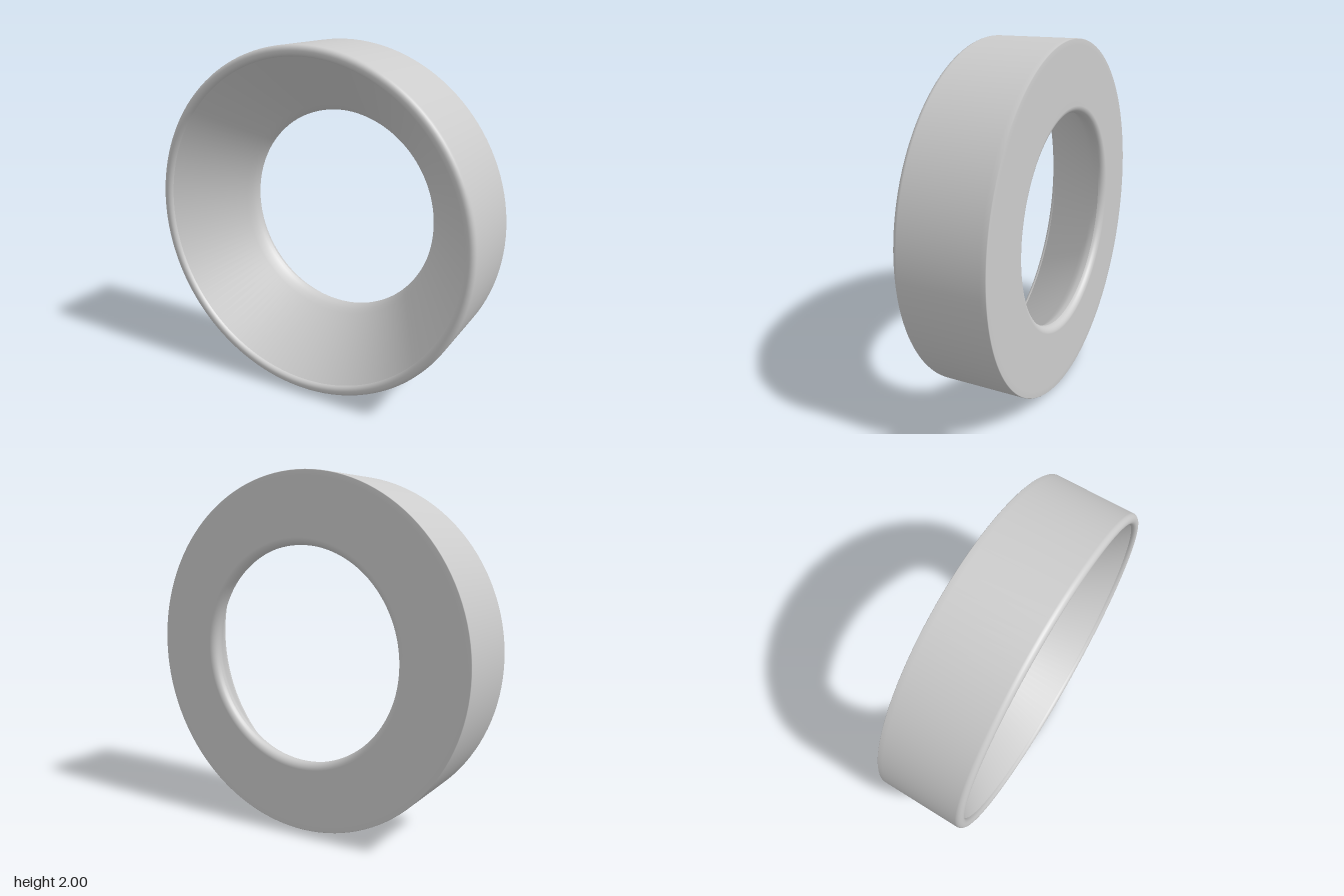
import * as THREE from 'three';

const SEGMENTS = 128;

// Sweeps [radius, z] points around the z axis, lifted to stand on the ground
function ring(name, points, material) {
  const geometry = new THREE.LatheGeometry(points.map(([r, z]) => new THREE.Vector2(r, z)), SEGMENTS);
  geometry.rotateX(Math.PI / 2);
  geometry.translate(0, 1, 0);
  const mesh = new THREE.Mesh(geometry, material);
  mesh.name = name;
  return mesh;
}

// Points along a quarter-style arc, angles in degrees
function arc(cx, cz, rx, rz, from, to, steps) {
  return Array.from({ length: steps + 1 }, (_, i) => {
    const a = THREE.MathUtils.degToRad(from + (to - from) * i / steps);
    return [cx + rx * Math.cos(a), cz + rz * Math.sin(a)];
  });
}

export function createModel() {
  const group = new THREE.Group();
  group.name = 'taperedRing';
  const material = new THREE.MeshStandardMaterial({ color: 0xcccccc });

  // Rounded throat lip, flat back, softly shaded back edge, outer wall and rounded front rim
  group.add(ring('outerShell', [
    ...arc(0.645, -0.21, 0.04, 0.04, 180, 270, 6),
    [0.965, -0.25],
    [0.997, -0.25],
    [1, -0.247],
    [1, -0.22],
    ...arc(0.97, 0.22, 0.03, 0.03, 0, 90, 6),
    ...arc(0.965, 0.225, 0.025, 0.025, 95, 180, 5),
  ], material));

  // Conical inner wall narrowing to the throat
  group.add(ring('innerFunnel', [
    [0.94, 0.225],
    [0.645, -0.135],
    [0.625, -0.162],
    [0.611, -0.185],
    [0.605, -0.21],
  ], material));

  return group;
}
